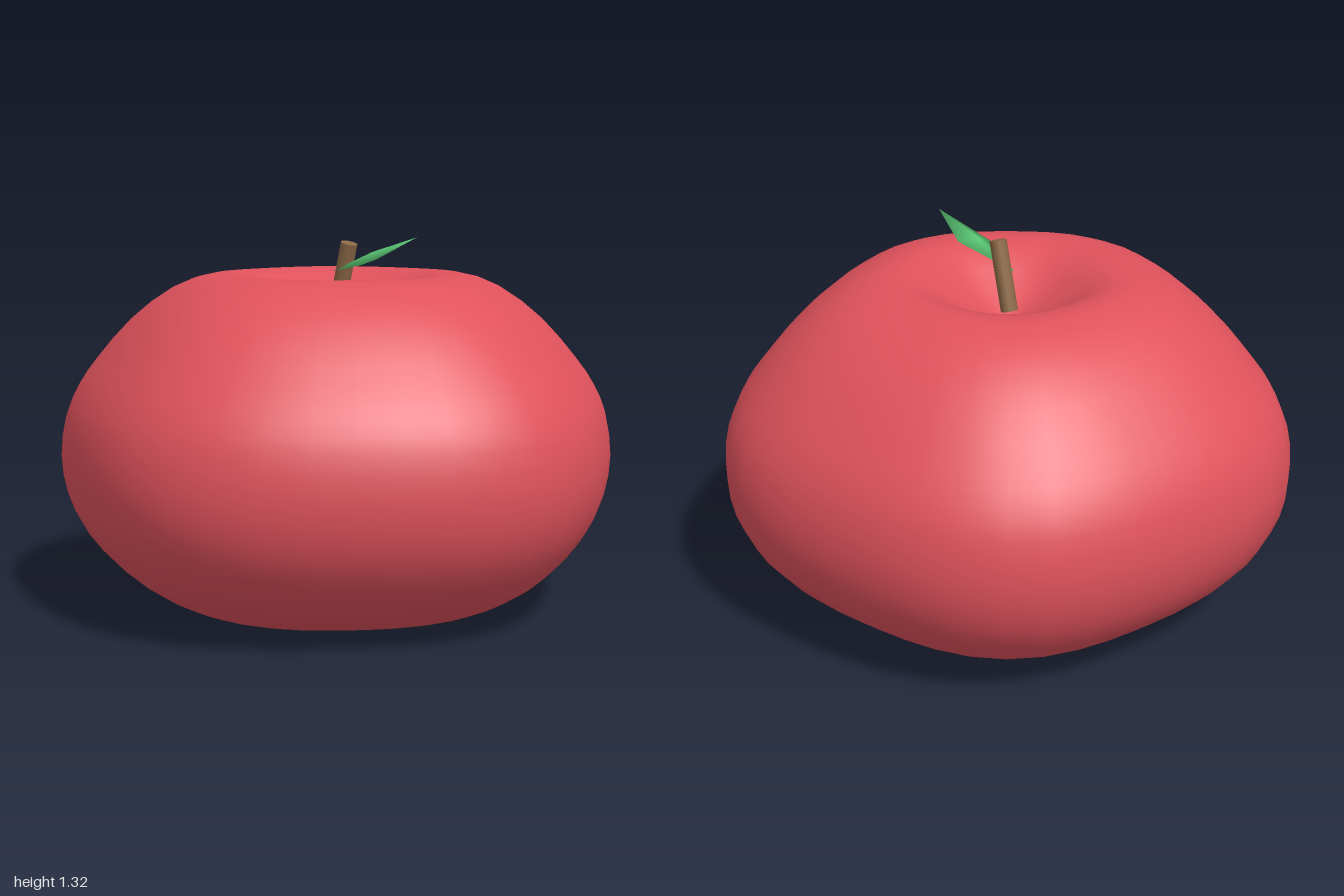
import * as THREE from 'three';
import { mergeVertices } from 'three/addons/utils/BufferGeometryUtils.js';

const red = new THREE.MeshStandardMaterial({ name: 'apple red', color: 0xe0525c });
const brown = new THREE.MeshStandardMaterial({ name: 'stem brown', color: 0x8b6846 });
const green = new THREE.MeshStandardMaterial({ name: 'leaf green', color: 0x5ccb77 });

// Lathed body, pinched in at both poles, then pushed into five soft lobes
function makeBody() {
  const profile = [
    [0, 0.1], [0.156, 0.078], [0.31, 0.025], [0.45, 0], [0.592, 0.032], [0.72, 0.09],
    [0.823, 0.165], [0.921, 0.275], [0.98, 0.4], [1, 0.54], [0.98, 0.68], [0.935, 0.78],
    [0.872, 0.87], [0.744, 1.015], [0.59, 1.13], [0.44, 1.18], [0.31, 1.162],
    [0.156, 1.06], [0, 0.98],
  ].map(([r, y]) => new THREE.Vector2(r, y));
  const points = new THREE.SplineCurve(profile).getPoints(36);
  points[0].x = points[points.length - 1].x = 0;

  let geometry = new THREE.LatheGeometry(points, 40);
  const p = geometry.attributes.position;
  for (let i = 0; i < p.count; i++) {
    const x = p.getX(i), z = p.getZ(i);
    const lobe = 0.99 * (1 + 0.025 * Math.cos(5 * Math.atan2(z, x)));
    p.setXYZ(i, x * lobe - 0.022, p.getY(i), z * lobe);
  }
  // Weld the seam and poles so the shading is continuous
  geometry.deleteAttribute('uv');
  geometry.deleteAttribute('normal');
  geometry = mergeVertices(geometry, 1e-4);
  geometry.computeVertexNormals();
  return new THREE.Mesh(geometry, red);
}

// Leaning stem between two points
function makeStem() {
  const base = new THREE.Vector3(-0.03, 1.05, 0);
  const top = new THREE.Vector3(0.038, 1.29, 0);
  const axis = top.clone().sub(base);
  const mesh = new THREE.Mesh(new THREE.CylinderGeometry(0.03, 0.03, axis.length(), 12), brown);
  mesh.position.copy(base).add(top).multiplyScalar(0.5);
  mesh.quaternion.setFromUnitVectors(new THREE.Vector3(0, 1, 0), axis.normalize());
  return mesh;
}

// Thin diamond-shaped lens: base, front corner, tip, back corner, upper and lower middle
function makeLeaf() {
  const rim = [
    [-0.03, 1.19, 0.02], [0.19, 1.22, 0.085], [0.36, 1.32, -0.03], [0.15, 1.27, -0.09],
  ].map((c) => new THREE.Vector3(...c));
  const middle = new THREE.Vector3();
  rim.forEach((v) => middle.addScaledVector(v, 0.25));
  const up = rim[1].clone().sub(rim[3]).cross(rim[2].clone().sub(rim[0])).normalize();
  const upper = middle.clone().addScaledVector(up, 0.015);
  const lower = middle.clone().addScaledVector(up, -0.015);

  const geometry = new THREE.BufferGeometry().setFromPoints([...rim, upper, lower]);
  const index = [];
  for (let i = 0; i < 4; i++) {
    const j = (i + 1) % 4;
    index.push(i, j, 4, j, i, 5);
  }
  geometry.setIndex(index);
  geometry.computeVertexNormals();
  return new THREE.Mesh(geometry, green);
}

export function createModel() {
  const group = new THREE.Group();
  group.name = 'apple';
  const parts = { body: makeBody(), stem: makeStem(), leaf: makeLeaf() };
  for (const [name, mesh] of Object.entries(parts)) {
    mesh.name = name;
    group.add(mesh);
  }
  return group;
}
